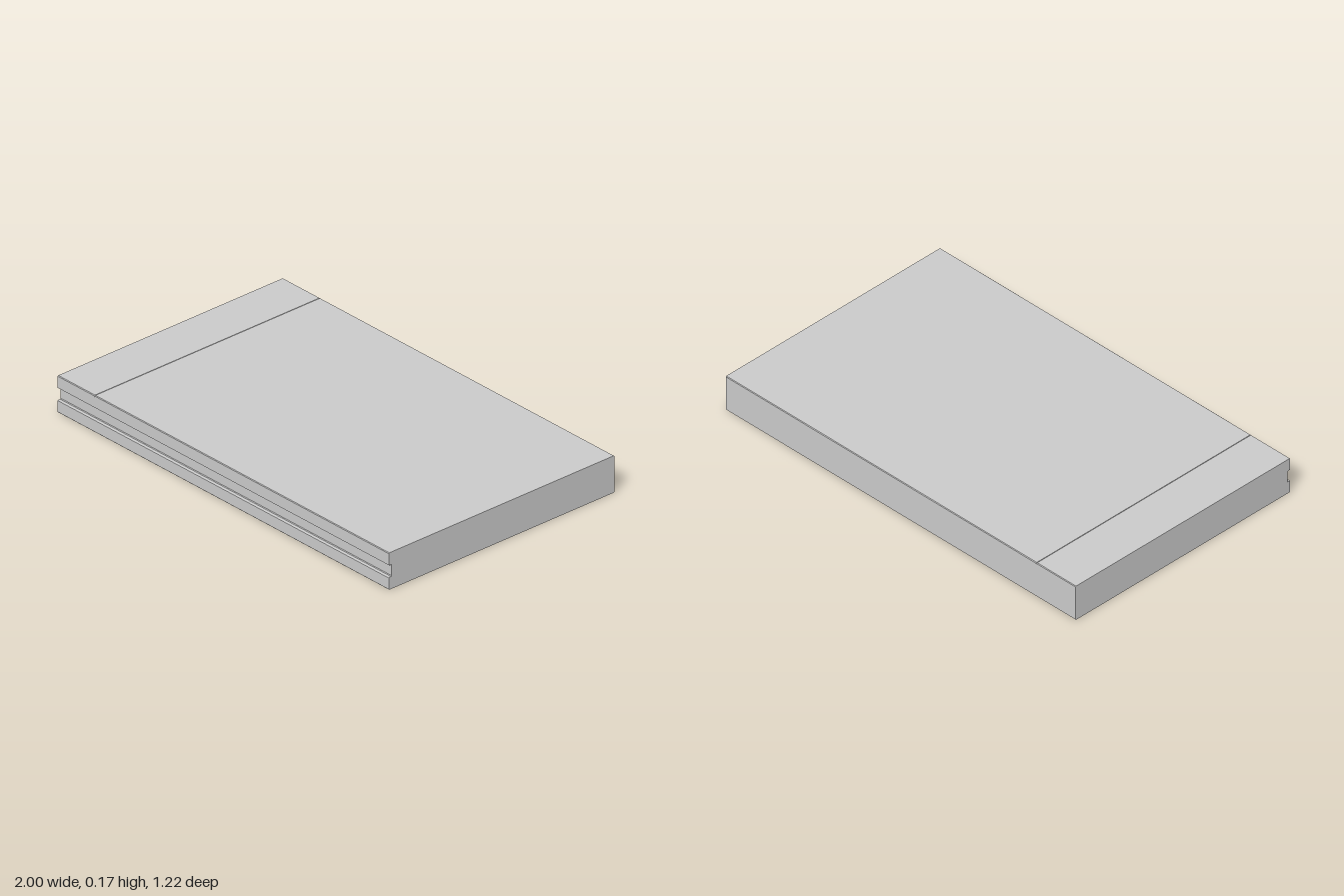
import * as THREE from 'three';

const H = 0.17, D = 0.612, GROOVE = 0.016, C = 0.003;

// Side profile, as [z, y], with a shallow finger groove along the front.
function profile(front, top) {
  const inner = D - GROOVE;
  const points = [
    [-D, C], [-D + C, 0], [front - C, 0], [front, C],
    [front, 0.055], [front - C, 0.057], [inner + C, 0.057], [inner, 0.06],
    [inner, 0.109], [inner + C, 0.112], [front - C, 0.112], [front, 0.114],
    [front, top - C], [front - C, top], [-D + C, top], [-D, top - C],
  ];
  return new THREE.Shape(points.map(([z, y]) => new THREE.Vector2(-z, y)));
}

export function createModel() {
  const group = new THREE.Group();
  const material = new THREE.MeshStandardMaterial({ color: 0xcccccc, flatShading: true });

  function section(name, x0, x1, front, top) {
    const geometry = new THREE.ExtrudeGeometry(profile(front, top), { depth: x1 - x0, bevelEnabled: false });
    geometry.rotateY(Math.PI / 2);
    const mesh = new THREE.Mesh(geometry, material);
    mesh.name = name;
    mesh.position.x = x0;
    group.add(mesh);
  }

  // Narrow end section and wide main section, parted by a fine recessed seam.
  section('endSection', -1, -0.778, D, H);
  section('seam', -0.778, -0.775, D, H - 0.004);
  section('mainSection', -0.775, 1, D, H);
  return group;
}
